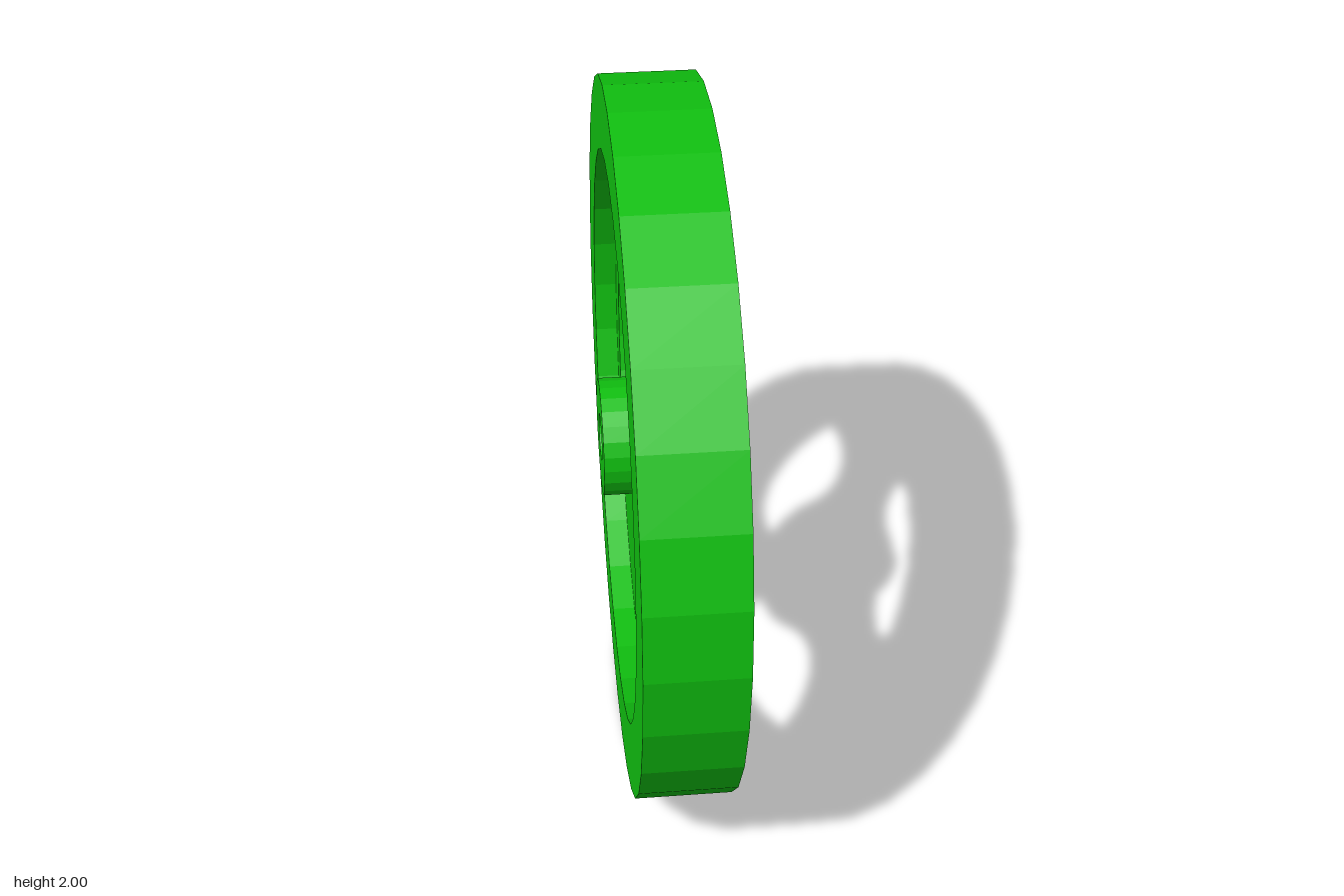
import * as THREE from 'three';

const RIM_R = 1, WEB_R = 0.8, HUB_R = 0.165, BORE_R = 0.066;
const RIM_X = 0.132, WEB_X = 0.065, HUB_X = 0.167;
const FLAT_Y = 0.13, SCREW_R = 0.033, PATCH = 0.051;
const SCREW_X = (WEB_X + HUB_X) / 2;

const green = new THREE.MeshStandardMaterial({ color: 0x10c010, flatShading: true, side: THREE.DoubleSide });

function part(name, geometry) {
  const mesh = new THREE.Mesh(geometry, green);
  mesh.name = name;
  return mesh;
}

// Regular polygon with a vertex on each axis
function ring(radius, sides, PathType = THREE.Path) {
  const pts = [];
  for (let i = 0; i < sides; i++) {
    const a = (i / sides) * Math.PI * 2;
    pts.push(new THREE.Vector2(radius * Math.cos(a), radius * Math.sin(a)));
  }
  return new PathType(pts);
}

// Extrude a side-on outline along x, from x0 to x1
function slab(shape, x0, x1) {
  const g = new THREE.ExtrudeGeometry(shape, { depth: x1 - x0, bevelEnabled: false, curveSegments: 12 });
  return g.translate(0, 0, x0).rotateY(Math.PI / 2);
}

// Kidney-shaped window, mirrored from its upper half and turned about the axle
function windowPath(turn) {
  const half = [[0.27, 0.05], [0.247, 0.16], [0.246, 0.23], [0.272, 0.305], [0.33, 0.355], [0.4, 0.377],
    [0.47, 0.38], [0.55, 0.36], [0.615, 0.305], [0.655, 0.23], [0.685, 0.12]];
  const lower = half.map(([x, y]) => [x, -y]).reverse();
  const pts = [[0.272, 0], ...half, [0.695, 0], ...lower];
  return new THREE.Path(pts.map(([x, y]) => new THREE.Vector2(x, y).rotateAround(new THREE.Vector2(), turn)));
}

// Open tube along x, with a gap of the given half angle at the top
function tube(radius, x0, x1, gap, sides) {
  const g = new THREE.CylinderGeometry(radius, radius, x1 - x0, sides, 1, true,
    Math.PI * 1.5 + gap, Math.PI * 2 - gap * 2);
  return g.rotateZ(-Math.PI / 2).translate((x0 + x1) / 2, 0, 0);
}

// Rectangular patch around the screw hole, laid at a height given by z
function holePatch(halfX, halfZ, height) {
  const g = new THREE.PlaneGeometry(1, 1, 24, 3);
  const p = g.attributes.position;
  for (let i = 0; i < p.count; i++) {
    const a = (p.getX(i) + 0.5) * Math.PI * 2, t = p.getY(i) + 0.5;
    const c = Math.cos(a), s = Math.sin(a), m = Math.max(Math.abs(c), Math.abs(s));
    const x = THREE.MathUtils.lerp(SCREW_R * c, (halfX * c) / m, t);
    const z = THREE.MathUtils.lerp(SCREW_R * s, (halfZ * s) / m, t);
    p.setXYZ(i, SCREW_X + x, height(z), z);
  }
  g.computeVertexNormals();
  return g;
}

const boreHeight = (z) => Math.sqrt(BORE_R * BORE_R - z * z);

// Wall of the screw hole, from the bore up to the flat
function screwWall() {
  const g = new THREE.CylinderGeometry(SCREW_R, SCREW_R, 1, 24, 1, true);
  const p = g.attributes.position;
  for (let i = 0; i < p.count; i++) {
    p.setXYZ(i, p.getX(i) + SCREW_X, p.getY(i) > 0 ? FLAT_Y : boreHeight(p.getZ(i)), p.getZ(i));
  }
  g.computeVertexNormals();
  return g;
}

// Hub boss with a flat on top and a radial set-screw hole
function flattedHub() {
  const hub = new THREE.Group();
  hub.name = 'flattedHub';
  const flatAngle = Math.acos(FLAT_Y / HUB_R);
  const halfX = (HUB_X - WEB_X) / 2;
  const end = new THREE.Shape();
  end.absarc(0, 0, HUB_R, Math.PI / 2 + flatAngle, Math.PI * 2.5 - flatAngle, false);
  end.holes.push(ring(BORE_R, 24));
  hub.add(
    part('hubSide', tube(HUB_R, WEB_X, HUB_X, flatAngle, 20)),
    part('hubEnd', new THREE.ShapeGeometry(end, 20).rotateY(Math.PI / 2).translate(HUB_X, 0, 0)),
    part('hubFlat', holePatch(halfX, HUB_R * Math.sin(flatAngle), () => FLAT_Y)),
    part('hubBore', tube(BORE_R, WEB_X, HUB_X, Math.asin(PATCH / BORE_R), 18)),
    part('boreTop', holePatch(halfX, PATCH, boreHeight)),
    part('screwHole', screwWall()),
  );
  return hub;
}

export function createModel() {
  const model = new THREE.Group();
  model.name = 'wheel';

  // Thick outer rim
  const rim = ring(RIM_R, 32, THREE.Shape);
  rim.holes.push(ring(WEB_R, 32));
  model.add(part('rim', slab(rim, -RIM_X, RIM_X)));

  // Recessed web with three windows and the axle bore
  const web = ring(WEB_R + 0.01, 32, THREE.Shape);
  for (let i = 0; i < 3; i++) web.holes.push(windowPath((i * Math.PI * 2) / 3));
  web.holes.push(ring(BORE_R, 24));
  model.add(part('web', slab(web, -WEB_X, WEB_X)));

  // Plain hub boss on one side, flatted boss on the other
  const boss = ring(HUB_R, 24, THREE.Shape);
  boss.holes.push(ring(BORE_R, 24));
  model.add(part('plainHub', slab(boss, -HUB_X, -WEB_X)), flattedHub());

  for (const child of model.children) child.position.y = 1;
  return model;
}
